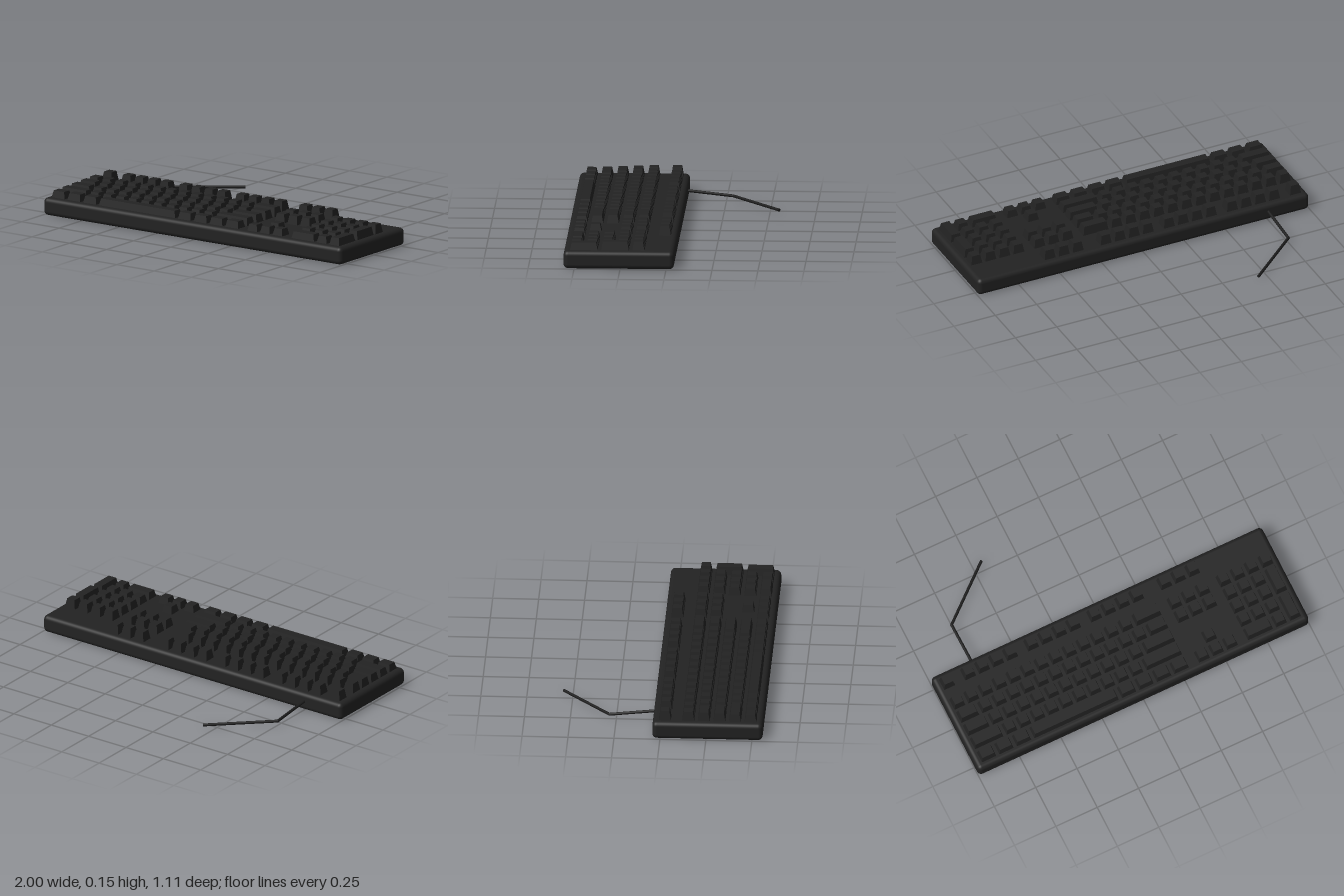
import * as THREE from 'three';
import { RoundedBoxGeometry } from 'three/addons/geometries/RoundedBoxGeometry.js';

const U = 0.0847;      // key pitch
const GAP = 0.016;     // space between key bases
const INSET = 0.01;    // taper of each keycap side
const X0 = -0.974;     // left edge of the key field
const BASE_Y = 0.09;   // keys sink slightly into the case

const mat = (name, color) => {
  const m = new THREE.MeshStandardMaterial({ color });
  m.name = name;
  return m;
};

// Tapered keycap: a box whose top corners are pulled inwards
function keycapGeometry(w, h, d) {
  const g = new THREE.BoxGeometry(w, h, d);
  const p = g.attributes.position;
  for (let i = 0; i < p.count; i++) {
    if (p.getY(i) < 0) continue;
    p.setX(i, p.getX(i) - Math.sign(p.getX(i)) * INSET);
    p.setZ(i, p.getZ(i) - Math.sign(p.getZ(i)) * INSET);
  }
  g.translate(0, h / 2, 0);
  g.computeVertexNormals();
  return g;
}

const ones = (n) => Array(n).fill(1);

// Rows from back to front: z centre, top height, and runs of [start column, key widths]
const FIRST_Z = 0.152;
const rowZ = (i) => FIRST_Z + i * U;
const ROWS = [
  { name: 'functionRow', z: FIRST_Z - 1.5 * U, top: 0.151,
    runs: [[0, [1]], [1.5, ones(4)], [6, ones(4)], [10.5, ones(4)], [15.5, ones(3)]] },
  { name: 'numberRow', z: rowZ(0), top: 0.148,
    runs: [[0, [...ones(13), 2]], [15.5, ones(3)], [19, ones(4)]] },
  { name: 'upperLetterRow', z: rowZ(1), top: 0.145,
    runs: [[0, [1.5, ...ones(12), 1.5]], [15.5, ones(3)], [19, ones(3)]] },
  { name: 'homeRow', z: rowZ(2), top: 0.142,
    runs: [[0, [1.75, ...ones(11), 2.25]], [19, ones(3)]] },
  { name: 'lowerLetterRow', z: rowZ(3), top: 0.139,
    runs: [[0, [2.25, ...ones(10), 2.75]], [16.5, [1]], [19, ones(3)]] },
  { name: 'spaceRow', z: rowZ(4), top: 0.136,
    runs: [[0, [1.25, 1.25, 1.25, 6.25, 1.25, 1.25, 1.25, 1.25]], [15.5, ones(3)], [19, [2, 1]]] },
];

export function createModel() {
  const model = new THREE.Group();
  model.name = 'keyboard';
  const caseMat = mat('case black', 0x222222);
  const keyMat = mat('key black', 0x222222);
  const cableMat = mat('cable black', 0x1c1c1c);

  // Case
  const body = new THREE.Mesh(new RoundedBoxGeometry(2, 0.098, 0.6, 4, 0.025), caseMat);
  body.name = 'case';
  body.position.set(0, 0.049, 0.258);
  model.add(body);

  // Keys
  const addKey = (parent, name, column, width, z, top, depth = 1) => {
    const key = new THREE.Mesh(
      keycapGeometry(width * U - GAP, top - BASE_Y, depth * U - GAP), keyMat);
    key.name = name;
    key.position.set(X0 + (column + width / 2) * U, BASE_Y, z);
    parent.add(key);
  };
  for (const { name, z, top, runs } of ROWS) {
    const row = new THREE.Group();
    row.name = name;
    for (const [start, widths] of runs) {
      let column = start;
      for (const w of widths) {
        addKey(row, w === 6.25 ? 'spaceBar' : 'key', column, w, z, top);
        column += w;
      }
    }
    model.add(row);
  }

  // Double-height number pad keys
  addKey(model, 'tallPlusKey', 22, 1, rowZ(1.5), 0.145, 2);
  addKey(model, 'tallEnterKey', 22, 1, rowZ(3.5), 0.139, 2);

  // Cable: two straight lengths with a round joint at the bend
  const cable = new THREE.Group();
  cable.name = 'cable';
  const points = [[-0.752, 0.056, -0.02], [-0.752, 0.027, -0.287], [-0.443, 0.019, -0.551]]
    .map((p) => new THREE.Vector3(...p));
  for (let i = 0; i < 2; i++) {
    const line = new THREE.LineCurve3(points[i], points[i + 1]);
    const length = new THREE.Mesh(
      new THREE.CylinderGeometry(0.008, 0.008, line.getLength(), 12), cableMat);
    length.name = 'cableLength';
    length.position.copy(line.getPoint(0.5));
    length.quaternion.setFromUnitVectors(new THREE.Vector3(0, 1, 0), line.getTangent(0));
    cable.add(length);
  }
  const bend = new THREE.Mesh(new THREE.SphereGeometry(0.008, 12, 8), cableMat);
  bend.name = 'cableBend';
  bend.position.copy(points[1]);
  cable.add(bend);
  model.add(cable);

  return model;
}
